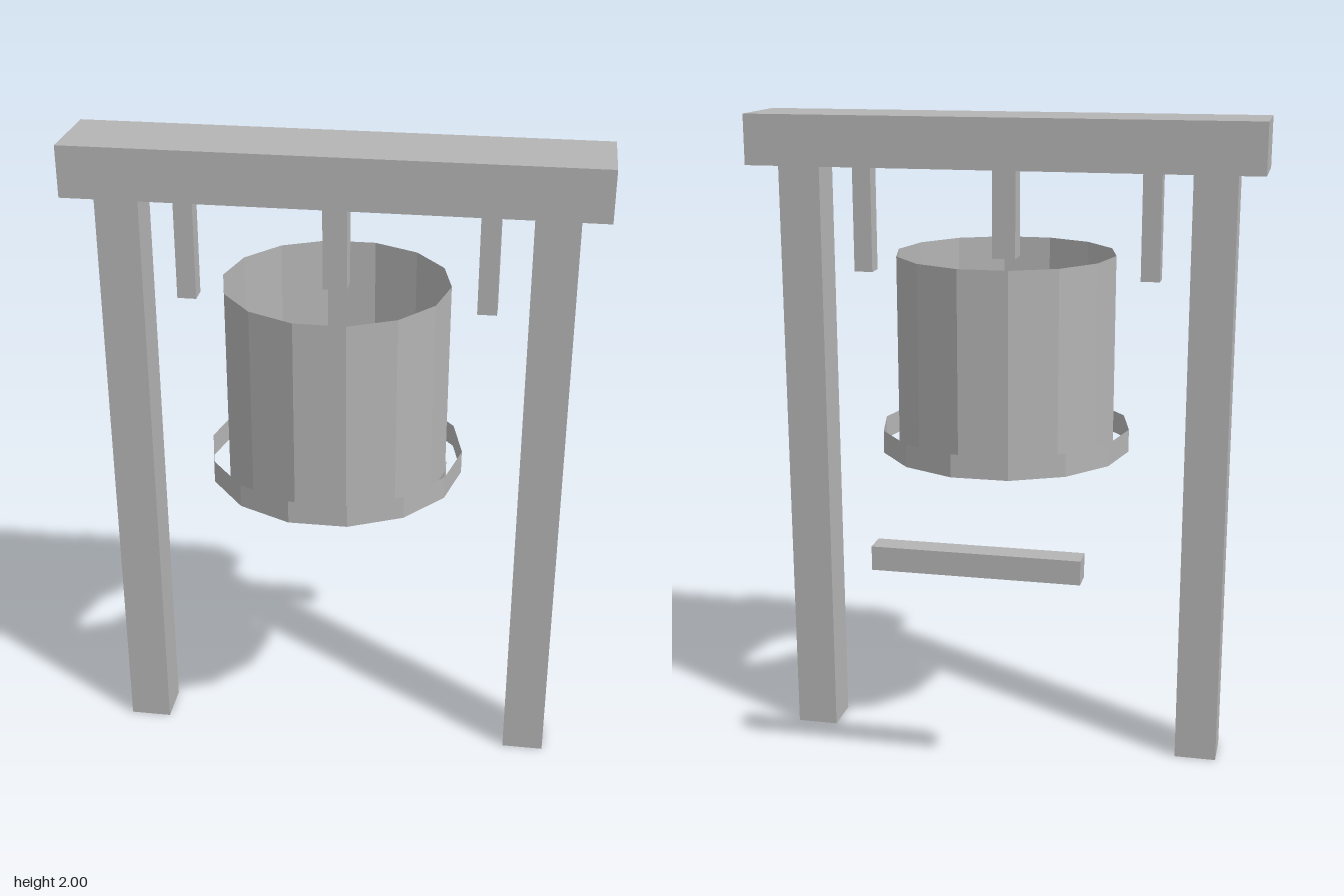
import * as THREE from 'three';

export function createModel() {
  const model = new THREE.Group();
  model.name = 'hangingBellFrame';
  const Z = 0.033; // plane of the frame
  const SIDES = 14;

  const grey = new THREE.MeshStandardMaterial({ color: 0xb4b4b4, side: THREE.DoubleSide, flatShading: true });
  grey.name = 'plain grey';

  function add(name, geometry, x, y, z) {
    const mesh = new THREE.Mesh(geometry, grey);
    mesh.name = name;
    mesh.position.set(x, y, z);
    model.add(mesh);
    return mesh;
  }

  // Box given by its bottom and top heights
  function box(name, w, d, y0, y1, x, z) {
    return add(name, new THREE.BoxGeometry(w, y1 - y0, d), x, (y0 + y1) / 2, z);
  }

  // Open faceted band, with corners on the x axis
  function band(name, radius, y0, y1) {
    const geometry = new THREE.CylinderGeometry(radius, radius, y1 - y0, SIDES, 1, true);
    geometry.rotateY(Math.PI / 2);
    return add(name, geometry, 0, (y0 + y1) / 2, Z);
  }

  // Frame
  box('topBeam', 1.55, 0.26, 1.848, 2, 0, Z);
  for (const [side, s] of [['left', 1], ['right', -1]]) {
    box(side + 'Post', 0.129, 0.129, 0, 1.848, s * 0.629, Z);
    box(side + 'Peg', 0.057, 0.057, 1.52, 1.848, s * 0.443, Z);
  }

  // Bell, open at both ends, with a separate rim band
  box('hanger', 0.071, 0.071, 1.575, 1.848, 0, Z);
  band('bellBody', 0.337, 0.985, 1.59);
  band('bellRim', 0.386, 0.985, 1.055);

  // Striking bar behind the bell
  box('strikerBar', 0.622, 0.073, 0.705, 0.778, 0, -0.373);

  return model;
}
